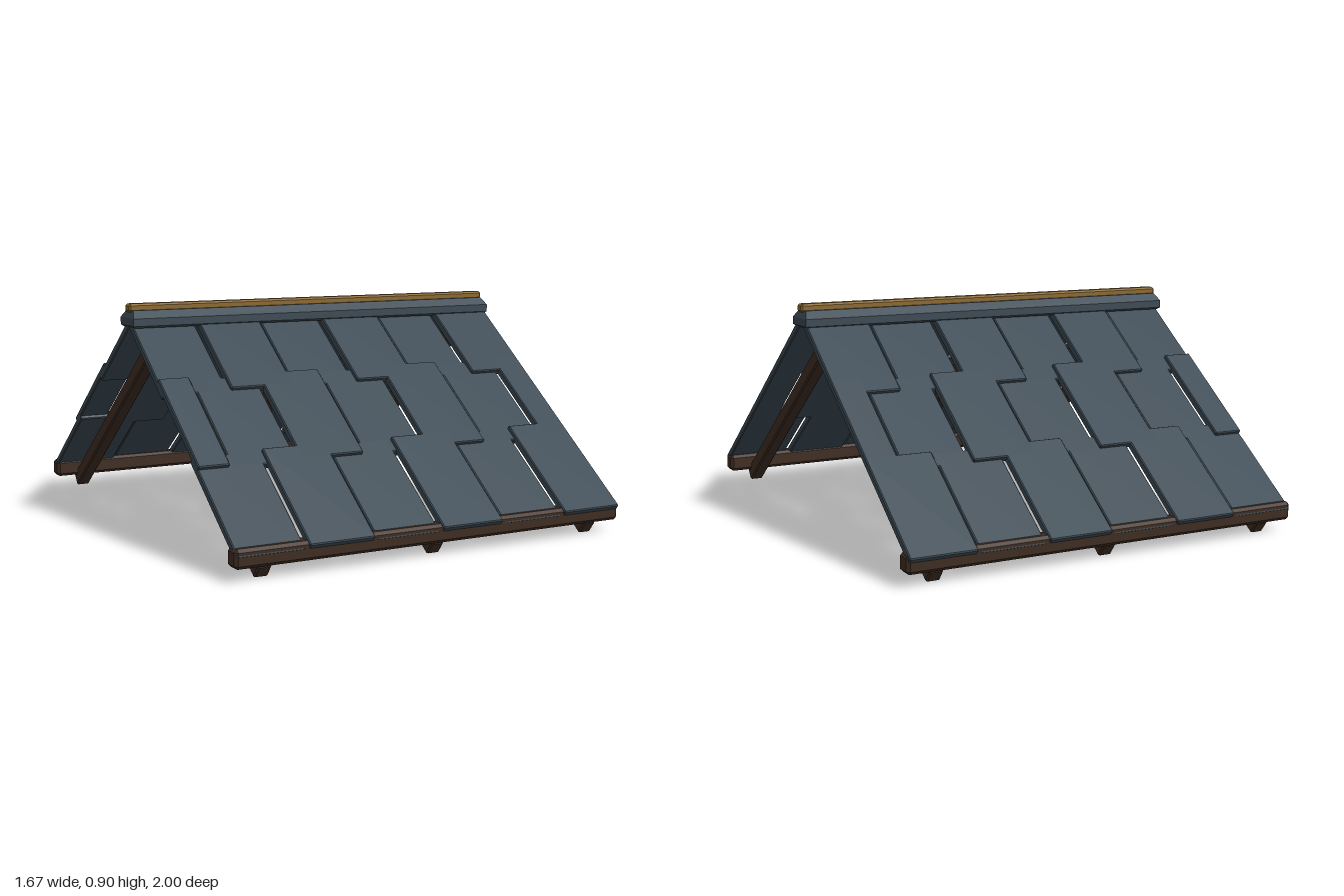
import * as THREE from 'three';
import { ConvexGeometry } from 'three/addons/geometries/ConvexGeometry.js';

const material = (name, color) => {
  const m = new THREE.MeshStandardMaterial({ color });
  m.name = name;
  return m;
};

// Box with every edge cut at 45 degrees by c
function chamferBox(w, h, d, c) {
  const pts = [];
  for (const x of [-1, 1]) for (const y of [-1, 1]) for (const z of [-1, 1]) {
    pts.push(new THREE.Vector3(x * w / 2, y * (h / 2 - c), z * (d / 2 - c)));
    pts.push(new THREE.Vector3(x * (w / 2 - c), y * h / 2, z * (d / 2 - c)));
    pts.push(new THREE.Vector3(x * (w / 2 - c), y * (h / 2 - c), z * d / 2));
  }
  return new ConvexGeometry(pts);
}

export function createModel() {
  const slate = material('slate', 0x3c4a54);
  const timber = material('dark timber', 0x3f2d22);
  const gold = material('aged gold', 0x8b692f);

  const model = new THREE.Group();
  model.name = 'gableRoof';

  const add = (parent, name, geometry, mat, x, y, z) => {
    const mesh = new THREE.Mesh(geometry, mat);
    mesh.name = name;
    mesh.position.set(x, y, z);
    parent.add(mesh);
  };

  const pitch = 0.279, width = 0.265, thick = 0.03, step = 0.015, half = 0.83;

  // Each slope: local z runs down the slope, local y is its normal
  for (const side of [1, -1]) {
    const slope = new THREE.Group();
    slope.name = side > 0 ? 'frontSlope' : 'backSlope';
    slope.position.y = 0.863;
    slope.rotation.x = side * Math.atan(0.75);
    model.add(slope);

    const addTile = (x0, x1, s0, s1, raised) =>
      add(slope, 'shingle', chamferBox(x1 - x0, thick, s1 - s0, 0.004), slate,
        (x0 + x1) / 2, -thick / 2 - (raised ? 0 : step), side * (s0 + s1) / 2);

    // Upper and lower courses: six tiles, every second one raised
    for (const [s0, s1] of [[0.02, 0.45], [0.775, 1.25]]) {
      for (let i = 0; i < 6; i++) {
        const x = (i - 2.5) * pitch;
        addTile(x - width / 2, x + width / 2, s0, s1, i % 2 === 1);
      }
    }
    // Middle course: staggered by half a tile, cut off at both gable ends
    for (let i = 0; i < 7; i++) {
      const x = (i - 3) * pitch;
      addTile(Math.max(x - width / 2, -half), Math.min(x + width / 2, half),
        0.375, 0.84, i % 2 === 0);
    }

    // Rafters
    for (const x of [-0.713, 0, 0.713]) {
      add(slope, 'rafter', chamferBox(0.056, 0.06, 1.164, 0.006), timber,
        x, -0.1004, side * 0.681);
    }

    // Eave beam
    add(model, 'eaveBeam', chamferBox(1.672, 0.072, 0.072, 0.012), timber,
      0, 0.088, side * 0.952);
  }

  // Ridge cap with wide sloping shoulders
  const capPoints = [];
  for (const [x, y, z] of [[0.825, 0.808, 0.062], [0.836, 0.816, 0.07],
    [0.836, 0.846, 0.07], [0.822, 0.876, 0.038]]) {
    for (const sx of [-1, 1]) for (const sz of [-1, 1]) {
      capPoints.push(new THREE.Vector3(sx * x, y, sz * z));
    }
  }
  add(model, 'ridgeCap', new ConvexGeometry(capPoints), slate, 0, 0, 0);

  // Trim bar along the top
  add(model, 'ridgeTrim', chamferBox(1.672, 0.034, 0.048, 0.008), gold, 0, 0.885, 0);

  return model;
}
